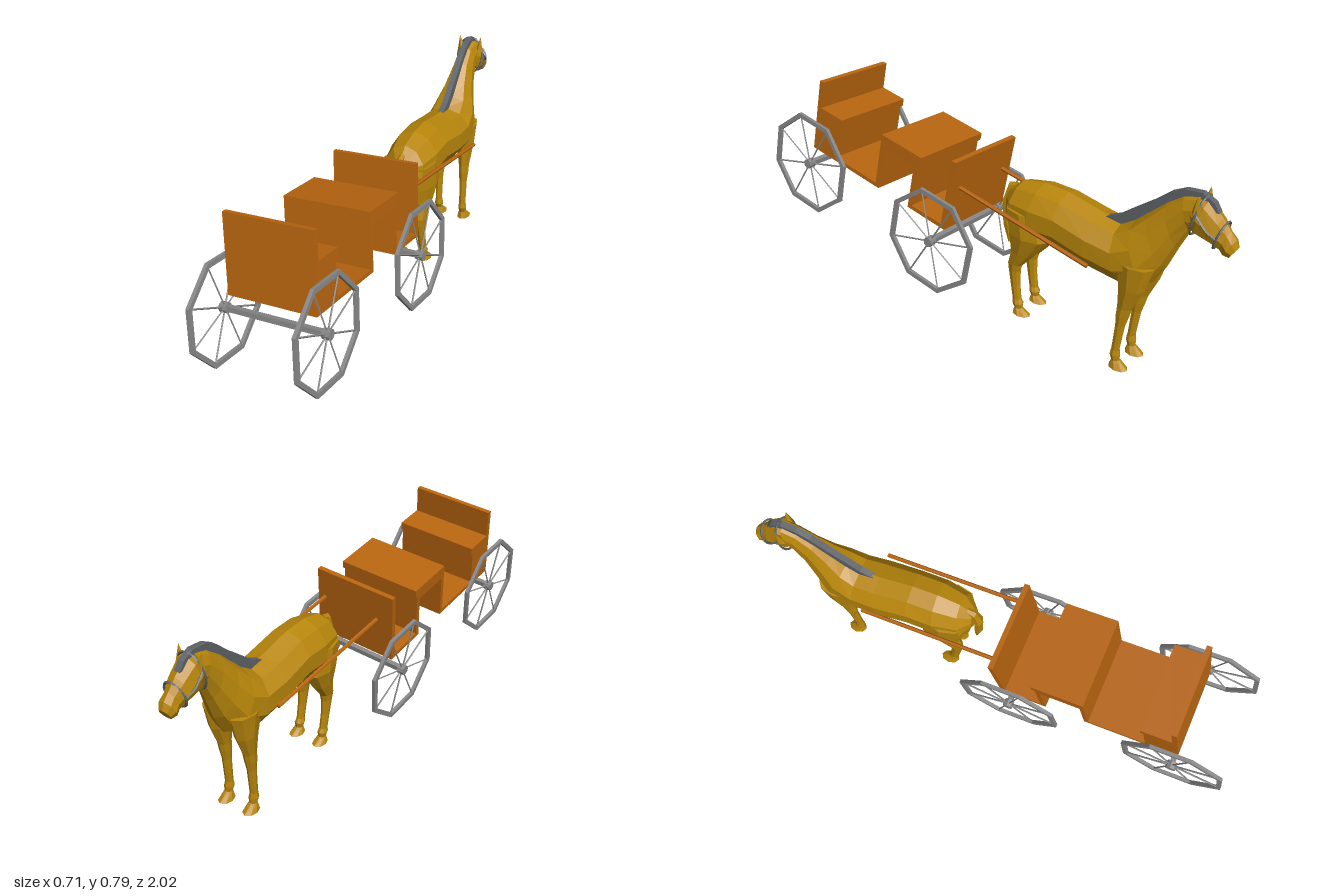
import * as THREE from 'three';

const mat = (color) => new THREE.MeshStandardMaterial({ color, flatShading: true });
const V3 = (x, y, z) => new THREE.Vector3(x, y, z);

function add(parent, name, geometry, material) {
  const mesh = new THREE.Mesh(geometry, material);
  mesh.name = name;
  parent.add(mesh);
  return mesh;
}

// Straight rod between two points
function rod(parent, name, a, b, radius, material, sides = 6) {
  const d = b.clone().sub(a);
  const m = add(parent, name, new THREE.CylinderGeometry(radius, radius, d.length(), sides), material);
  m.position.copy(a).addScaledVector(d, 0.5);
  m.quaternion.setFromUnitVectors(V3(0, 1, 0), d.normalize());
  return m;
}

// Oval ring spanning two points in the side plane: [z1, y1, z2, y2, halfWidth]
function ringPoints([z1, y1, z2, y2, w], n, side = 0) {
  return Array.from({ length: n }, (_, i) => {
    const t = (i / n) * Math.PI * 2, c = Math.cos(t) / 2;
    return V3(side + w * Math.sin(t), (y1 + y2) / 2 + (y1 - y2) * c, (z1 + z2) / 2 + (z1 - z2) * c);
  });
}

// Skin over a list of oval rings with closed ends, faces turned outward
function loft(rings, n, side = 0) {
  const pos = [], idx = [], last = (rings.length - 1) * n;
  rings.forEach((r) => ringPoints(r, n, side).forEach((p) => pos.push(p.x, p.y, p.z)));
  for (const r of [rings[0], rings[rings.length - 1]]) pos.push(side, (r[1] + r[3]) / 2, (r[0] + r[2]) / 2);
  for (let i = 0; i < n; i++) {
    const j = (i + 1) % n;
    for (let k = 0; k < last; k += n) idx.push(k + i, k + j, k + n + j, k + i, k + n + j, k + n + i);
    idx.push(last + n, j, i, last + n + 1, last + i, last + j);
  }
  const at = (i) => V3(pos[3 * i], pos[3 * i + 1], pos[3 * i + 2]);
  let volume = 0;
  for (let i = 0; i < idx.length; i += 3) volume += at(idx[i]).dot(at(idx[i + 1]).cross(at(idx[i + 2])));
  if (volume < 0) idx.reverse();
  const g = new THREE.BufferGeometry();
  g.setAttribute('position', new THREE.Float32BufferAttribute(pos, 3));
  g.setIndex(idx);
  g.computeVertexNormals();
  return g;
}

function buildCart(wood, metal) {
  const cart = new THREE.Group();
  cart.name = 'cart';
  // f runs forward from the rear, v runs up from the floor
  const box = (name, f0, f1, v0, v1, w, m = wood) =>
    add(cart, name, new THREE.BoxGeometry(w, v1 - v0, f1 - f0), m).position.set(0, (v0 + v1) / 2, -(f0 + f1) / 2);
  const W = 0.353;
  box('backrest', 0, 0.02, 0, 0.306, W);
  box('rearFloor', 0, 0.38, 0, 0.016, W);
  box('rearSeatBox', 0.02, 0.13, 0.016, 0.16, W);
  box('rearSeatCushion', 0.02, 0.142, 0.16, 0.192, W);
  box('benchRearWall', 0.362, 0.38, 0, 0.19, W);
  box('benchFrontWall', 0.542, 0.56, 0, 0.19, W);
  box('benchTop', 0.362, 0.56, 0.183, 0.205, W);
  box('benchCushion', 0.362, 0.572, 0.205, 0.235, W);
  box('frontFloor', 0.542, 0.735, 0, 0.016, W);
  box('dashboard', 0.715, 0.735, 0, 0.296, W);

  // Octagonal wheel rim
  const R = 0.215, r = 0.196;
  const octagon = (rad) => Array.from({ length: 8 }, (_, i) => {
    const t = ((i + 0.5) * Math.PI) / 4;
    return new THREE.Vector2(rad * Math.cos(t), rad * Math.sin(t));
  });
  const rimShape = new THREE.Shape(octagon(R));
  rimShape.holes.push(new THREE.Path(octagon(r)));
  const rim = new THREE.ExtrudeGeometry(rimShape, { depth: 0.014, bevelEnabled: false });
  rim.translate(0, 0, -0.007).rotateY(Math.PI / 2);

  for (const [label, f] of [['rear', 0.015], ['front', 0.7]]) {
    box(label + 'Axle', f - 0.01, f + 0.01, -0.07, -0.05, 0.41, metal);
    for (const s of [-1, 1]) {
      const wheel = new THREE.Group();
      wheel.name = label + (s > 0 ? 'LeftWheel' : 'RightWheel');
      wheel.position.set(s * 0.205, -0.06, -f);
      add(wheel, 'rim', rim, metal);
      rod(wheel, 'hub', V3(-0.015, 0, 0), V3(0.015, 0, 0), 0.02, metal, 8);
      for (const p of octagon(r + 0.006)) rod(wheel, 'spoke', V3(0, 0, 0), V3(0, p.y, p.x), 0.0035, metal, 4);
      cart.add(wheel);
    }
  }

  // The cart stands turned and tilted on its own axes
  const z = V3(-0.245, 0.14, 0.957).normalize();
  const y = z.clone().cross(V3(0.963, 0.102, 0.255)).normalize();
  cart.quaternion.setFromRotationMatrix(new THREE.Matrix4().makeBasis(y.clone().cross(z), y, z));
  cart.position.set(-0.11, 0.442, 0.772);
  return cart;
}

function buildHorse(coat, dark) {
  const horse = new THREE.Group();
  horse.name = 'horse';
  add(horse, 'body', loft([
    [-0.12, 0.54, -0.11, 0.46, 0.035], [-0.17, 0.585, -0.14, 0.39, 0.085], [-0.26, 0.605, -0.24, 0.375, 0.105],
    [-0.36, 0.603, -0.36, 0.385, 0.105], [-0.5, 0.575, -0.48, 0.362, 0.11], [-0.58, 0.565, -0.62, 0.345, 0.105],
    [-0.63, 0.6, -0.72, 0.375, 0.096], [-0.68, 0.65, -0.765, 0.46, 0.07], [-0.74, 0.71, -0.8, 0.55, 0.05],
    [-0.8, 0.755, -0.835, 0.63, 0.042], [-0.855, 0.772, -0.87, 0.64, 0.042],
  ], 10), coat);
  add(horse, 'head', loft([
    [-0.83, 0.765, -0.825, 0.65, 0.036], [-0.885, 0.765, -0.85, 0.625, 0.053], [-0.935, 0.715, -0.91, 0.612, 0.045],
    [-0.968, 0.676, -0.94, 0.598, 0.031], [-0.99, 0.652, -0.955, 0.586, 0.036], [-1, 0.625, -0.975, 0.583, 0.024],
  ], 8), coat);
  add(horse, 'tail', loft([
    [-0.14, 0.565, -0.14, 0.535, 0.012], [-0.105, 0.555, -0.125, 0.515, 0.018], [-0.08, 0.48, -0.118, 0.47, 0.024],
    [-0.085, 0.38, -0.12, 0.38, 0.02], [-0.108, 0.3, -0.116, 0.3, 0.005],
  ], 6), coat);

  // Legs as [height, z, half length, half width]
  const frontLeg = [[0.46, -0.67, 0.075, 0.045], [0.36, -0.667, 0.05, 0.036], [0.27, -0.65, 0.029, 0.023],
    [0.235, -0.645, 0.026, 0.022], [0.19, -0.64, 0.019, 0.017], [0.08, -0.63, 0.016, 0.015],
    [0.058, -0.63, 0.02, 0.019], [0.036, -0.634, 0.015, 0.016], [0.005, -0.647, 0.038, 0.028]];
  const hindLeg = [[0.5, -0.22, 0.085, 0.05], [0.4, -0.235, 0.088, 0.05], [0.32, -0.213, 0.05, 0.035],
    [0.26, -0.182, 0.031, 0.024], [0.23, -0.18, 0.025, 0.02], [0.17, -0.185, 0.02, 0.016],
    [0.105, -0.195, 0.018, 0.015], [0.088, -0.2, 0.022, 0.02], [0.068, -0.203, 0.015, 0.016], [0.044, -0.217, 0.038, 0.027]];
  const toRings = (leg) => leg.map(([y, z, l, w]) => [z - l, y, z + l, y, w]);
  for (const s of [-1, 1]) {
    const label = s > 0 ? 'Left' : 'Right';
    add(horse, 'front' + label + 'Leg', loft(toRings(frontLeg), 8, s * 0.057), coat);
    add(horse, 'hind' + label + 'Leg', loft(toRings(hindLeg), 8, s * 0.055), coat);
    const ear = new THREE.ConeGeometry(0.018, 0.065, 5);
    add(horse, 'ear' + label, ear.rotateZ(-s * 0.12).translate(s * 0.044, 0.752, -0.862), coat);
    // Cheek strap from headstall to noseband
    const cheek = new THREE.CatmullRomCurve3([V3(s * 0.05, 0.715, -0.865), V3(s * 0.053, 0.675, -0.905), V3(s * 0.041, 0.65, -0.94)]);
    add(horse, 'cheekStrap' + label, new THREE.TubeGeometry(cheek, 6, 0.0045, 4), dark);
  }

  // Bridle bands
  for (const [name, ring] of [['headstall', [-0.875, 0.775, -0.84, 0.62, 0.056]], ['noseband', [-0.953, 0.703, -0.922, 0.6, 0.044]]]) {
    const curve = new THREE.CatmullRomCurve3(ringPoints(ring, 10), true);
    add(horse, name, new THREE.TubeGeometry(curve, 20, 0.0045, 4, true), dark);
  }

  // Mane ridge along the neck, ending in a forelock
  const outline = [[0.52, 0.568], [0.57, 0.592], [0.63, 0.642], [0.69, 0.69], [0.75, 0.745], [0.8, 0.774], [0.86, 0.782],
    [0.905, 0.76], [0.925, 0.728], [0.9, 0.73], [0.85, 0.75], [0.8, 0.735], [0.74, 0.69], [0.68, 0.63], [0.62, 0.575], [0.58, 0.556]];
  const mane = new THREE.ExtrudeGeometry(new THREE.Shape(outline.map((p) => new THREE.Vector2(...p))), { depth: 0.024, bevelEnabled: false });
  add(horse, 'mane', mane.translate(0, 0, -0.012).rotateY(Math.PI / 2), dark);

  // Turn and lean the whole horse
  const lean = new THREE.Matrix4().set(0.98, -0.05, -0.2, 0.117, 0.05, 1, 0, 0, 0.2, 0, 1, 0, 0, 0, 0, 1);
  horse.children.forEach((m) => m.geometry.applyMatrix4(lean));
  return horse;
}

export function createModel() {
  const wood = mat(0xb8650f), metal = mat(0x888888), coat = mat(0xb8860b), dark = mat(0x606468);
  const model = new THREE.Group();
  model.name = 'horseAndCart';
  model.add(buildCart(wood, metal), buildHorse(coat, dark));
  // Shafts linking cart and horse
  rod(model, 'leftShaft', V3(0.194, 0.53, 0.06), V3(0.345, 0.444, -0.51), 0.008, wood);
  rod(model, 'rightShaft', V3(-0.045, 0.505, 0), V3(0.103, 0.42, -0.57), 0.008, wood);
  return model;
}
